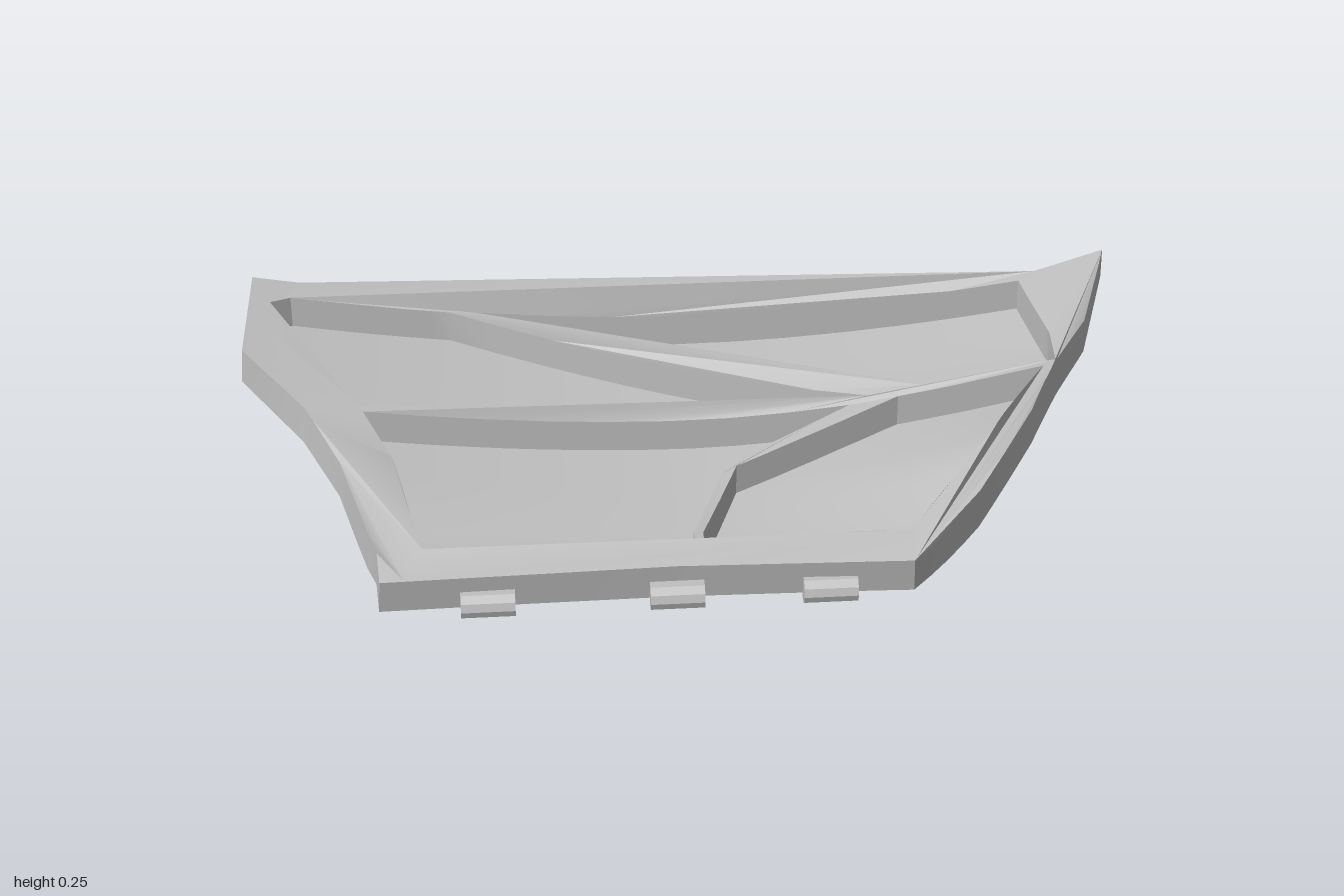
import * as THREE from 'three';
import { toCreasedNormals } from 'three/addons/utils/BufferGeometryUtils.js';

// Piecewise linear lookup in a list of [key, value]
function ramp(pts, k) {
  if (k <= pts[0][0]) return pts[0][1];
  for (let i = 1; i < pts.length; i++) {
    const [a, va] = pts[i - 1], [b, vb] = pts[i];
    if (k <= b) return va + (vb - va) * (k - a) / (b - a);
  }
  return pts[pts.length - 1][1];
}

// Dished heights: centre line plus an upward sweep to each side
const underLine = [[-0.5, 0.05], [-0.2, 0.032], [0.32, 0], [0.48, 0.045]];
const topLine = [[-0.5, 0.148], [-0.09, 0.125], [0.12, 0.108], [0.32, 0.11], [0.5, 0.138]];
const sweepRight = [[-0.23, 0.112], [-0.23, 0.112], [-0.09, 0.14], [0.12, 0.235], [0.32, 0.19], [0.48, 0]];
const sweepLeft = [[-0.24, 0.112], [0.12, 0.11], [0.4, 0.07], [0.48, 0]];
const sweep = (x, z) => ramp(x > 0 ? sweepRight : sweepLeft, z) * Math.abs(x) ** 1.8;
const underY = (x, z) => ramp(underLine, z) + sweep(x, z);
const floorY = (x, z) => underY(x, z) + 0.02;
const topY = (x, z) => ramp(topLine, z) + sweep(x, z);

// Plan edges as [x, z]
const backEdge = [[-0.985, -0.52], [-0.66, -0.52], [0, -0.5], [0.83, -0.465], [0.995, -0.495]];
const rightEdge = [[0.995, -0.495], [0.915, -0.24], [0.83, -0.09], [0.74, 0.12], [0.6, 0.315], [0.44, 0.48]];
const frontEdge = [[-0.695, 0.475], [-0.065, 0.46], [0.44, 0.48]];
const leftEdge = [[-0.985, -0.52], [-1, -0.235], [-0.86, -0.05], [-0.78, 0.12], [-0.7, 0.4], [-0.695, 0.475]];

// Pocket outlines between the ribs
const pockets = [
  [[-0.89, -0.43], [-0.53, -0.425], [0.40, -0.075], [-0.74, -0.07], [-0.935, -0.405]],
  [[-0.47, -0.43], [0.785, -0.41], [0.825, -0.2], [0.82, -0.085], [0.53, -0.08], [0.06, -0.25]],
  [[-0.725, -0.05], [0.355, -0.05], [0.07, 0.10], [-0.02, 0.335], [-0.02, 0.385], [-0.6, 0.4], [-0.655, 0.11]],
  [[0.465, -0.055], [0.79, -0.065], [0.66, 0.13], [0.44, 0.4], [0, 0.385], [0, 0.34], [0.09, 0.11]],
];

// Point on an edge; every segment takes an equal share of t
function along(edge, t) {
  const s = Math.min(t, 0.99999) * (edge.length - 1), i = Math.floor(s), f = s - i;
  return [0, 1].map(k => edge[i][k] + (edge[i + 1][k] - edge[i][k]) * f);
}

// Patch spanned by the four edges
function patch(u, v) {
  const b = along(backEdge, u), f = along(frontEdge, u), l = along(leftEdge, v), r = along(rightEdge, v);
  return [0, 1].map(k => (1 - v) * b[k] + v * f[k] + (1 - u) * l[k] + u * r[k]
    - (1 - v) * ((1 - u) * backEdge[0][k] + u * rightEdge[0][k])
    - v * ((1 - u) * frontEdge[0][k] + u * frontEdge[2][k]));
}

function fromTriangles(pos, crease = 0.5) {
  const g = new THREE.BufferGeometry();
  g.setAttribute('position', new THREE.Float32BufferAttribute(pos, 3));
  g.computeVertexNormals();
  return toCreasedNormals(g, crease);
}

const NU = 24, NV = 20;

// Curved sheet over the patch, facing up or down
function sheet(height, inset, up) {
  const pos = [];
  const p = (i, j) => {
    const [x, z] = patch(inset + (1 - 2 * inset) * i / NU, inset + (1 - 2 * inset) * j / NV);
    return [x, height(x, z), z];
  };
  for (let i = 0; i < NU; i++) for (let j = 0; j < NV; j++) {
    const a = p(i, j), b = p(i, j + 1), c = p(i + 1, j + 1), d = p(i + 1, j);
    pos.push(...(up ? [a, b, c, a, c, d] : [a, c, b, a, d, c]).flat());
  }
  return fromTriangles(pos);
}

// Wall between an upper and a lower ring
function wall(upper, lower, inward) {
  const pos = [];
  upper.forEach((a, i) => {
    const n = (i + 1) % upper.length, b = upper[n], c = lower[n], d = lower[i];
    pos.push(...(inward ? [a, c, b, a, d, c] : [a, b, c, a, c, d]).flat());
  });
  return fromTriangles(pos, 0.35);
}

function subdivide(loop, n) {
  return loop.flatMap((p, i) => {
    const q = loop[(i + 1) % loop.length];
    return Array.from({ length: n }, (_, k) => [p[0] + (q[0] - p[0]) * k / n, p[1] + (q[1] - p[1]) * k / n]);
  });
}

export function createModel() {
  const model = new THREE.Group();
  const grey = new THREE.MeshStandardMaterial({ color: 0xc0c0c0 });
  grey.name = 'light grey';
  const add = (name, geometry) => {
    const mesh = new THREE.Mesh(geometry, grey);
    mesh.name = name;
    model.add(mesh);
    return mesh;
  };

  // Outer ring, clockwise from the back left corner
  const ring = [];
  for (let i = 0; i < NU; i++) ring.push(patch(i / NU, 0));
  for (let j = 0; j < NV; j++) ring.push(patch(1, j / NV));
  for (let i = NU; i > 0; i--) ring.push(patch(i / NU, 1));
  for (let j = NV; j > 0; j--) ring.push(patch(0, j / NV));
  // The rim leans forward a little over its height
  const rim = ring.map(([x, z]) => [x * 0.992, z + (z < 0 ? 0.03 * Math.min(1, -z / 0.45) : 0.015 * Math.min(1, z / 0.45))]);

  add('underside', sheet(underY, 0, false));
  add('floor', sheet(floorY, 0.02, true));
  add('outerWall', wall(rim.map(([x, z]) => [x, topY(x, z), z]), ring.map(([x, z]) => [x, underY(x, z), z]), false));

  // Rim and ribs in one face with the pockets cut out
  const flat = ([x, z]) => new THREE.Vector2(x, -z);
  const face = new THREE.Shape(rim.map(flat));
  pockets.forEach((p) => {
    const loop = subdivide(p, 8);
    face.holes.push(new THREE.Path(loop.map(flat)));
    add('pocketWall', wall(loop.map(([x, z]) => [x, topY(x, z), z]), loop.map(([x, z]) => [x, floorY(x, z) - 0.01, z]), true));
  });
  let top = new THREE.ShapeGeometry(face).rotateX(-Math.PI / 2);
  const pos = top.attributes.position;
  for (let i = 0; i < pos.count; i++) pos.setY(i, topY(pos.getX(i), pos.getZ(i)));
  top.computeVertexNormals();
  add('rimAndRibs', toCreasedNormals(top, 0.5));

  // Hinge knuckles on the front edge
  for (const x of [-0.465, -0.065, 0.26]) {
    const knuckle = add('hingeKnuckle', toCreasedNormals(new THREE.CylinderGeometry(0.031, 0.031, 0.115, 10).rotateZ(Math.PI / 2), 0.3));
    knuckle.position.set(x, 0.063, 0.482);
  }

  // Clip blocks behind the front rim, profile in (z, y)
  const profile = [[0.41, 0.03], [0.41, 0.128], [0.37, 0.122], [0.338, 0.092], [0.345, 0.02]];
  const block = new THREE.ExtrudeGeometry(new THREE.Shape(profile.map(([z, y]) => new THREE.Vector2(-z, y))), { depth: 0.075, bevelEnabled: false });
  block.translate(0, 0, -0.0375).rotateY(Math.PI / 2);
  for (const x of [-0.445, -0.01, 0.35]) add('clipBlock', block).position.x = x;

  return model;
}
